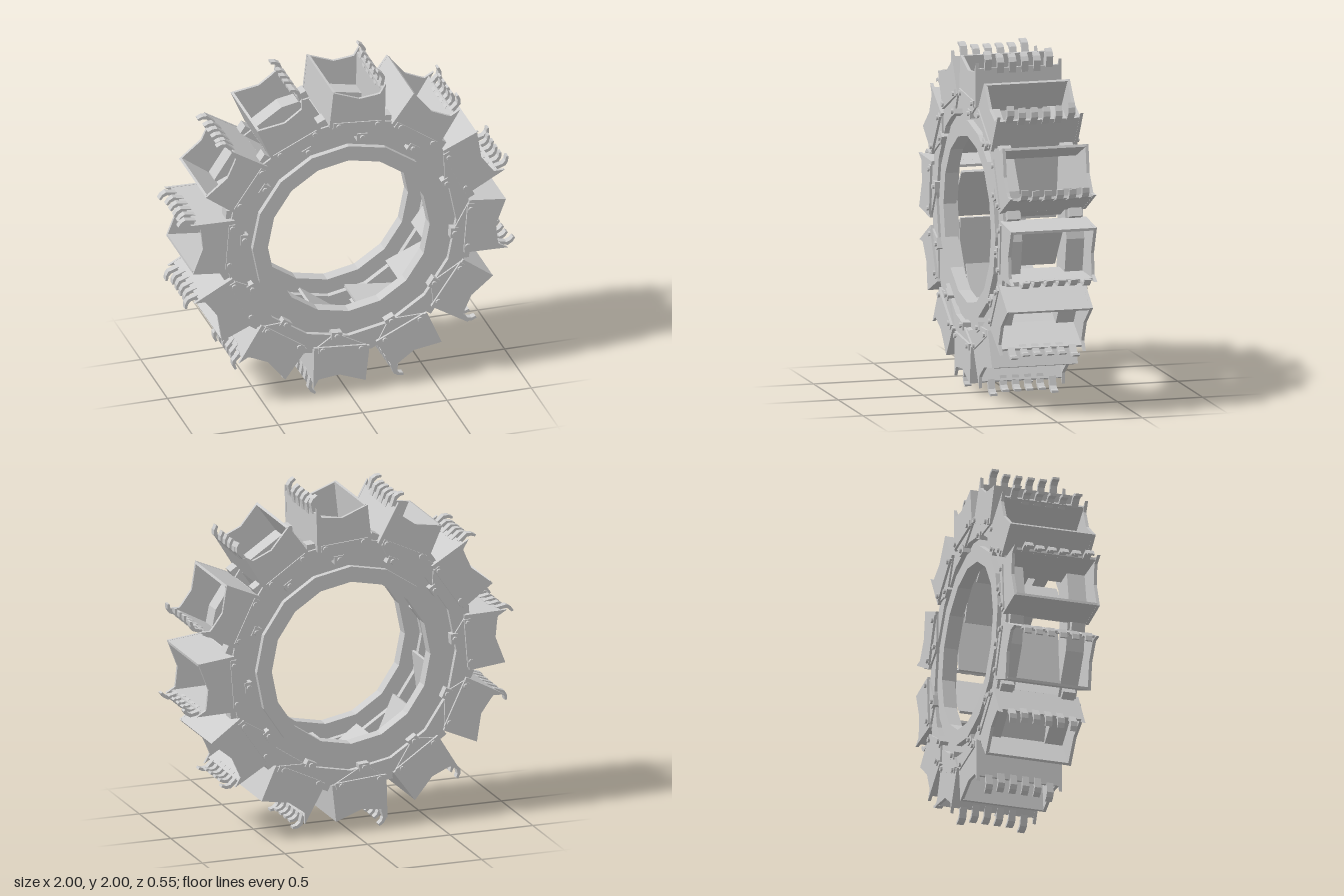
import * as THREE from 'three';

const BUCKETS = 12;
const FIRST_ANGLE = 4.5 * Math.PI / 180;
const material = new THREE.MeshStandardMaterial({ color: 0xcccccc, flatShading: true, side: THREE.DoubleSide });

function add(parent, name, geometry, x = 0, y = 0, z = 0) {
  const mesh = new THREE.Mesh(geometry, material);
  mesh.name = name;
  mesh.position.set(x, y, z);
  parent.add(mesh);
  return mesh;
}

function extrude(points, depth) {
  const shape = new THREE.Shape(points.map(([x, y]) => new THREE.Vector2(x, y)));
  return new THREE.ExtrudeGeometry(shape, { depth, bevelEnabled: false });
}

// Closed ring section (radius, distance from the middle plane): inner rim, groove, outer band
function ringGeometry(side) {
  const section = [[0.48, 0.165], [0.57, 0.165], [0.57, 0.13], [0.735, 0.13], [0.735, 0.235], [0.64, 0.235],
    [0.64, 0.205], [0.57, 0.205], [0.57, 0.24], [0.48, 0.24], [0.48, 0.165]];
  const points = section.map(([r, z]) => new THREE.Vector2(r, z * side));
  if (side < 0) points.reverse();
  return new THREE.LatheGeometry(points, 16).rotateX(Math.PI / 2);
}

// Bucket axes: x towards the teeth, y outwards from the hub, z across the wheel
const sideGeometry = extrude([[-0.175, 0.70], [0.155, 0.695], [0.141, 0.953], [0.113, 0.895], [0.085, 0.888],
  [-0.009, 0.871], [-0.168, 0.918]], 0.018);
const lipGeometry = new THREE.BoxGeometry(0.015, 0.222, 0.48);
const lipExtensionGeometry = new THREE.BoxGeometry(0.015, 0.1, 0.262);
const backGeometry = new THREE.BoxGeometry(0.015, 0.217, 0.48);
const toothGeometry = extrude([[0.124, 0.908], [0.146, 0.908], [0.153, 0.972], [0.136, 0.996],
  [0.11, 1.011], [0.104, 0.999], [0.124, 0.984], [0.134, 0.962]], 0.04);
const boltGeometry = new THREE.CylinderGeometry(0.015, 0.015, 0.014, 8).rotateX(Math.PI / 2);
const stripGeometry = new THREE.BoxGeometry(0.285, 0.038, 0.014);
const lugGeometry = new THREE.BoxGeometry(0.062, 0.045, 0.05);
const baseLugGeometry = new THREE.BoxGeometry(0.05, 0.045, 0.075);
const bracketGeometry = extrude([[-0.16, 0.70], [0.005, 0.625], [0.045, 0.625], [0.14, 0.70]], 0.012);

// Sloping chute between the rings, from the back wall base inwards
const CHUTE_FROM = new THREE.Vector2(-0.17, 0.70);
const CHUTE_TO = new THREE.Vector2(0.14, 0.505);
const chuteRun = CHUTE_TO.clone().sub(CHUTE_FROM);
const chuteGeometry = new THREE.BoxGeometry(chuteRun.length(), 0.016, 0.262);

function createBucket() {
  const bucket = new THREE.Group();
  bucket.name = 'bucket';
  add(bucket, 'backWall', backGeometry, -0.163, 0.809, 0).rotation.z = -0.03;
  add(bucket, 'cuttingWall', lipGeometry, 0.14, 0.807, 0).rotation.z = 0.055;
  add(bucket, 'cuttingWallExtension', lipExtensionGeometry, 0.146, 0.65, 0);

  const chute = add(bucket, 'chutePlate', chuteGeometry,
    (CHUTE_FROM.x + CHUTE_TO.x) / 2, (CHUTE_FROM.y + CHUTE_TO.y) / 2, 0);
  chute.rotation.z = chuteRun.angle();

  // Six teeth, the outer pair standing higher
  for (let i = 0; i < 6; i++) {
    const outer = i === 0 || i === 5;
    add(bucket, 'tooth', toothGeometry, 0, outer ? 0 : -0.02, (i - 2.5) * 0.072 - 0.02);
  }

  // Side plates, brackets, mounting strips, lugs and bolts on both faces
  for (const s of [-1, 1]) {
    add(bucket, 'sidePlate', sideGeometry, 0, 0, s > 0 ? 0.235 : -0.253);
    add(bucket, 'ringBracket', bracketGeometry, 0, 0, s > 0 ? 0.234 : -0.246);
    add(bucket, 'mountingStrip', stripGeometry, -0.012, 0.709, s * 0.254);
    add(bucket, 'ringLug', lugGeometry, 0.026, 0.627, s * 0.229);
    add(bucket, 'lugBolt', boltGeometry, 0.026, 0.627, s * 0.26);
    add(bucket, 'baseLug', baseLugGeometry, 0.178, 0.715, s * 0.182);
    for (const x of [-0.122, 0.108]) add(bucket, 'stripBolt', boltGeometry, x, 0.709, s * 0.266);
  }
  return bucket;
}

export function createModel() {
  const model = new THREE.Group();
  model.name = 'bucketWheel';
  const wheel = new THREE.Group();
  wheel.name = 'wheel';
  wheel.position.y = 1;
  model.add(wheel);

  add(wheel, 'frontRing', ringGeometry(1));
  add(wheel, 'backRing', ringGeometry(-1));

  for (let i = 0; i < BUCKETS; i++) {
    const bucket = createBucket();
    bucket.rotation.z = -(FIRST_ANGLE + i * Math.PI * 2 / BUCKETS);
    wheel.add(bucket);
  }
  return model;
}
